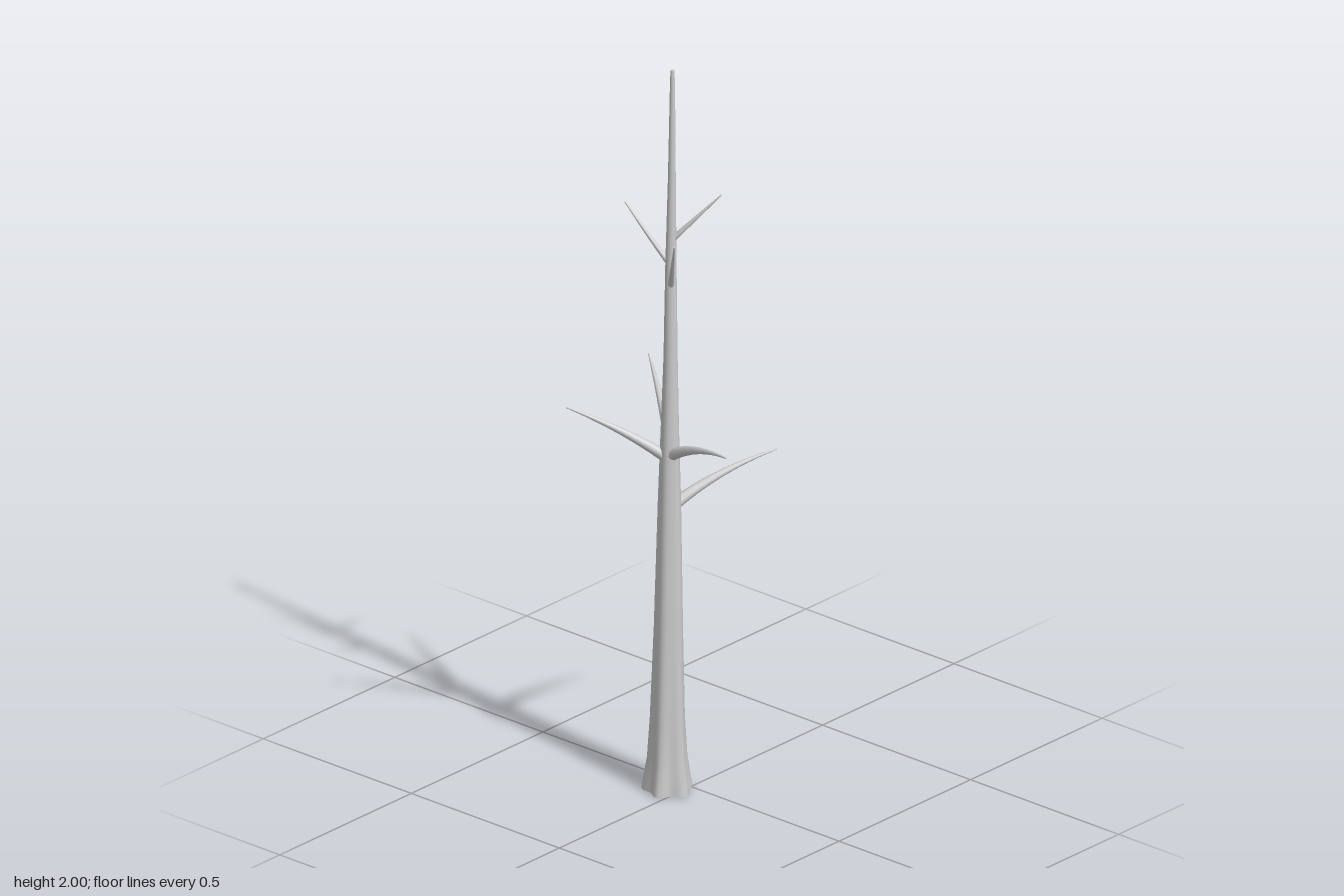
import * as THREE from 'three';

const bark = new THREE.MeshStandardMaterial({ color: 0xcccccc, side: THREE.DoubleSide });

// Trunk stations: height, centre x, centre z, radius, root lobe depth
const trunk = [
  [0, -0.033, 0.05, 0.057, 0.15],
  [0.03, -0.033, 0.05, 0.054, 0.14],
  [0.09, -0.033, 0.05, 0.047, 0.11],
  [0.2, -0.033, 0.05, 0.042, 0.08],
  [0.45, -0.032, 0.048, 0.036, 0.05],
  [0.8, -0.031, 0.046, 0.029, 0.03],
  [1.0, -0.03, 0.046, 0.023, 0.02],
  [1.2, -0.027, 0.047, 0.018, 0],
  [1.45, -0.025, 0.048, 0.0145, 0],
  [1.7, -0.02, 0.05, 0.01, 0],
  [1.96, -0.017, 0.051, 0.0065, 0],
  [2, -0.017, 0.051, 0.005, 0],
];

// Skin rings of points (each ring open, wrapping round) and close both ends
function loft(rings) {
  const n = rings[0].length, pos = [], index = [];
  rings.forEach(r => r.forEach(p => pos.push(p.x, p.y, p.z)));
  for (let i = 0; i < rings.length - 1; i++) {
    for (let j = 0; j < n; j++) {
      const a = i * n + j, b = i * n + (j + 1) % n;
      index.push(a, a + n, b, b, a + n, b + n);
    }
  }
  // End caps keep their own vertices so the rims stay crisp
  [rings[0], rings[rings.length - 1]].forEach((r, end) => {
    const c = pos.length / 3;
    const mid = r.reduce((s, p) => s.add(p), new THREE.Vector3()).divideScalar(n);
    [mid, ...r].forEach(p => pos.push(p.x, p.y, p.z));
    for (let j = 0; j < n; j++) {
      const a = c + 1 + j, b = c + 1 + (j + 1) % n;
      if (end) index.push(c, b, a); else index.push(c, a, b);
    }
  });
  const g = new THREE.BufferGeometry();
  g.setAttribute('position', new THREE.Float32BufferAttribute(pos, 3));
  g.setIndex(index);
  g.computeVertexNormals();
  return g;
}

function trunkGeometry() {
  const sides = 30;
  return loft(trunk.map(([y, cx, cz, r, lobe]) =>
    Array.from({ length: sides }, (_, j) => {
      const a = j / sides * Math.PI * 2;
      const k = r * (1 + lobe * Math.cos(5 * (a - 0.06)) + lobe * 0.3 * Math.cos(2 * a + 1));
      return new THREE.Vector3(cx + k * Math.cos(a), y, cz + k * Math.sin(a));
    })));
}

// Tapered branch along an arched curve from the trunk axis to its tip
function branchGeometry(startY, tip, radius, arch) {
  const i = trunk.findIndex(s => s[0] > startY), [a, b] = [trunk[i - 1], trunk[i]];
  const t = (startY - a[0]) / (b[0] - a[0]);
  const start = new THREE.Vector3(a[1] + (b[1] - a[1]) * t, startY, a[2] + (b[2] - a[2]) * t);
  const end = new THREE.Vector3(...tip);
  const bend = start.clone().lerp(end, 0.45);
  bend.y += arch;
  const curve = new THREE.QuadraticBezierCurve3(start, bend, end);
  const steps = 12, sides = 10, frames = curve.computeFrenetFrames(steps);
  return loft(Array.from({ length: steps + 1 }, (_, s) => {
    const u = s / steps, p = curve.getPointAt(u);
    const r = radius * (1 - u) + 0.0018 * u;
    return Array.from({ length: sides }, (_, j) => {
      const q = -j / sides * Math.PI * 2;
      return p.clone()
        .addScaledVector(frames.normals[s], -r * Math.cos(q))
        .addScaledVector(frames.binormals[s], -r * Math.sin(q));
    });
  }));
}

export function createModel() {
  const tree = new THREE.Group();
  tree.name = 'bareTree';
  const add = (name, geometry) => {
    const mesh = new THREE.Mesh(geometry, bark);
    mesh.name = name;
    tree.add(mesh);
  };
  add('trunk', trunkGeometry());

  // Name, height on the trunk, tip, base radius, upward arch
  const branches = [
    ['lowerBackBranch', 0.78, [0.087, 0.885, -0.23], 0.017, 0.035],
    ['lowerLeftBranch', 0.925, [0.232, 1.025, 0.128], 0.017, 0.035],
    ['lowerFrontBranch', 0.915, [-0.215, 1.065, 0.23], 0.016, 0.02],
    ['lowerRightBranch', 0.965, [-0.234, 1.095, -0.103], 0.015, 0.018],
    ['upperFrontBranch', 1.395, [0.063, 1.56, 0.134], 0.009, -0.005],
    ['upperRightBranch', 1.455, [-0.145, 1.61, 0.088], 0.008, -0.005],
    ['upperBackBranch', 1.525, [0.077, 1.655, -0.029], 0.008, 0],
  ];
  branches.forEach(([name, ...spec]) => add(name, branchGeometry(...spec)));
  return tree;
}
